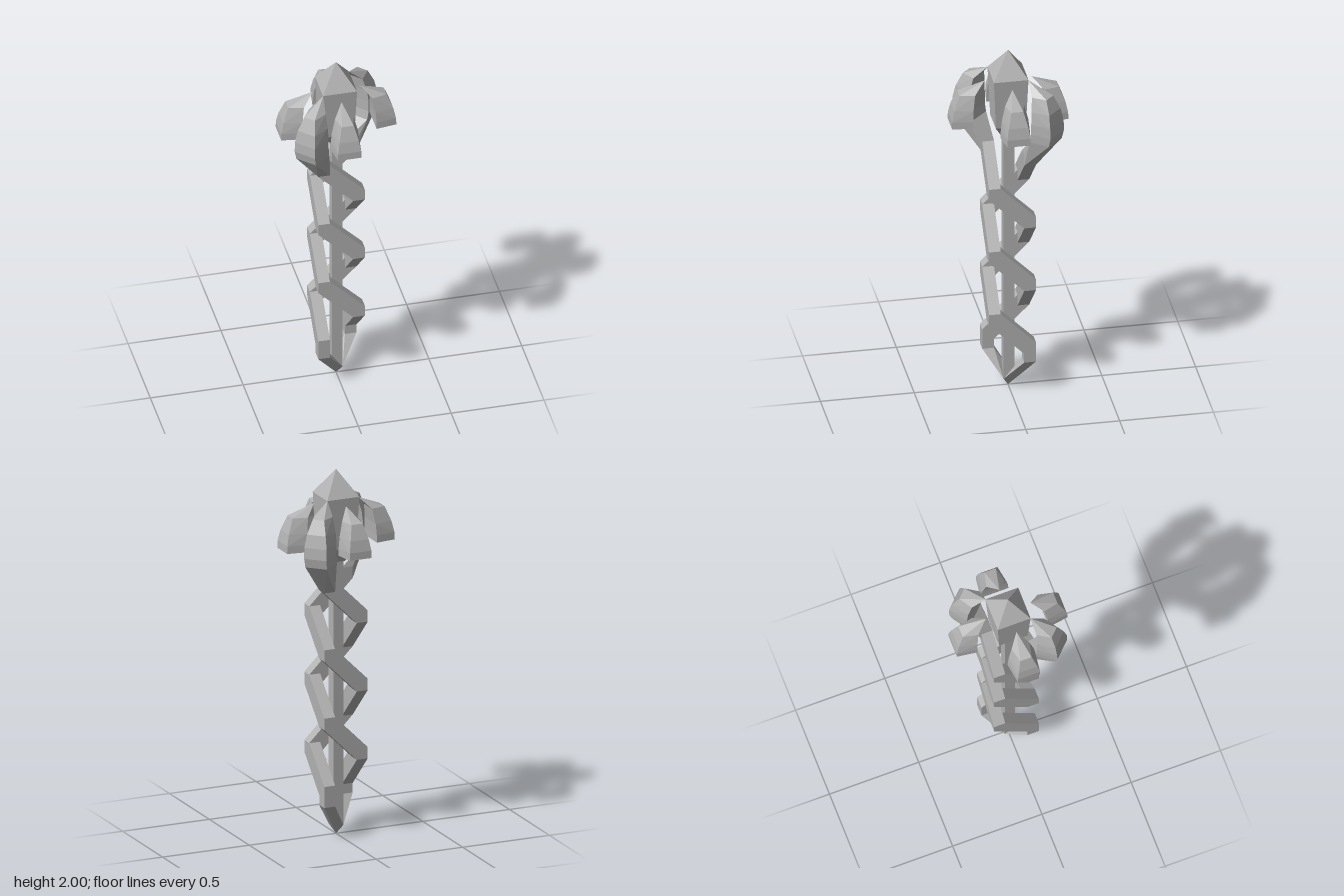
import * as THREE from 'three';
import { ConvexGeometry } from 'three/addons/geometries/ConvexGeometry.js';
import { mergeGeometries } from 'three/addons/utils/BufferGeometryUtils.js';

const V = (x, y, z) => new THREE.Vector3(x, y, z);

// Horizontal square section
const square = (x, y, z, h) => [V(x - h, y, z - h), V(x + h, y, z - h), V(x + h, y, z + h), V(x - h, y, z + h)];

// Faceted solid: hulls between each pair of neighbouring sections
function chain(sections) {
  const parts = [];
  for (let i = 0; i < sections.length - 1; i++) {
    parts.push(new ConvexGeometry([...sections[i], ...sections[i + 1]]));
  }
  return mergeGeometries(parts);
}

// Blade section pointing along +z: outer edge and wider inner edge
const blade = (y, zo, wo, zi, wi) => [V(-wo, y, zo), V(wo, y, zo), V(wi, y, zi), V(-wi, y, zi)];

export function createModel() {
  const stone = new THREE.MeshStandardMaterial({ color: 0xb2b2b2 });
  const group = new THREE.Group();
  const add = (name, geometry, turn = 0) => {
    const mesh = new THREE.Mesh(geometry, stone);
    mesh.name = name;
    mesh.rotation.y = turn;
    group.add(mesh);
  };

  // Central rod
  add('rod', chain([square(0, 0.05, 0, 0.029), square(0, 1.52, 0, 0.029)]));

  // Head core with pyramid top and tapered neck
  add('headCore', chain([
    square(0, 1.5, 0, 0.036), square(0, 1.58, 0, 0.08), square(0, 1.86, 0, 0.092), [V(0, 2, 0)],
  ]));

  // Four floating fins
  const fin = chain([
    blade(1.59, 0.31, 0.0625, 0.2, 0.078),
    blade(1.63, 0.309, 0.062, 0.2, 0.077),
    blade(1.69, 0.296, 0.052, 0.197, 0.07),
    blade(1.77, 0.265, 0.032, 0.185, 0.05),
    [V(0, 1.83, 0.125)],
  ]);
  for (let i = 0; i < 4; i++) add('fin', fin, i * Math.PI / 2);

  // Twisting strand: corner cubes joined around the rod, starting front left
  const c = 0.094, h = 0.0313, step = 0.1875, top = 1.399;
  const corners = [[-c, c], [c, c], [c, -c], [-c, -c]];
  const cube = (i) => {
    const [x, z] = corners[i % 4];
    const y = top - i * step;
    return [...square(x, y - h, z, h), ...square(x, y + h, z, h)];
  };
  const cubes = [0, 1, 2, 3, 4, 5, 6].map(cube);
  const strand = chain(cubes);

  // Strand foot: short drop, then taper to the bottom point
  const foot = chain([
    square(c, 0.274, -c, h),
    square(c, 0.19, -c, h),
    [V(0.029, 0.05, 0.029), V(-0.029, 0.05, -0.029), V(0.029, 0.05, -0.029), V(0, 0, 0)],
  ]);

  // Large petal growing from the top cube along the diagonal
  const diagonal = (pts) => pts.map((p) => p.applyAxisAngle(V(0, 1, 0), -Math.PI / 4));
  const petal = chain([
    cube(0),
    diagonal(blade(1.54, 0.3, 0.06, 0.19, 0.075)),
    diagonal(blade(1.59, 0.312, 0.0625, 0.2, 0.078)),
    diagonal(blade(1.65, 0.31, 0.0625, 0.2, 0.078)),
    diagonal(blade(1.72, 0.297, 0.052, 0.197, 0.07)),
    diagonal(blade(1.795, 0.265, 0.032, 0.185, 0.05)),
    diagonal([V(0, 1.86, 0.128)]),
  ]);

  // Two of each, half a turn apart
  for (const turn of [0, Math.PI]) {
    add('strand', strand, turn);
    add('strandFoot', foot, turn);
    add('petal', petal, turn);
  }
  return group;
}
